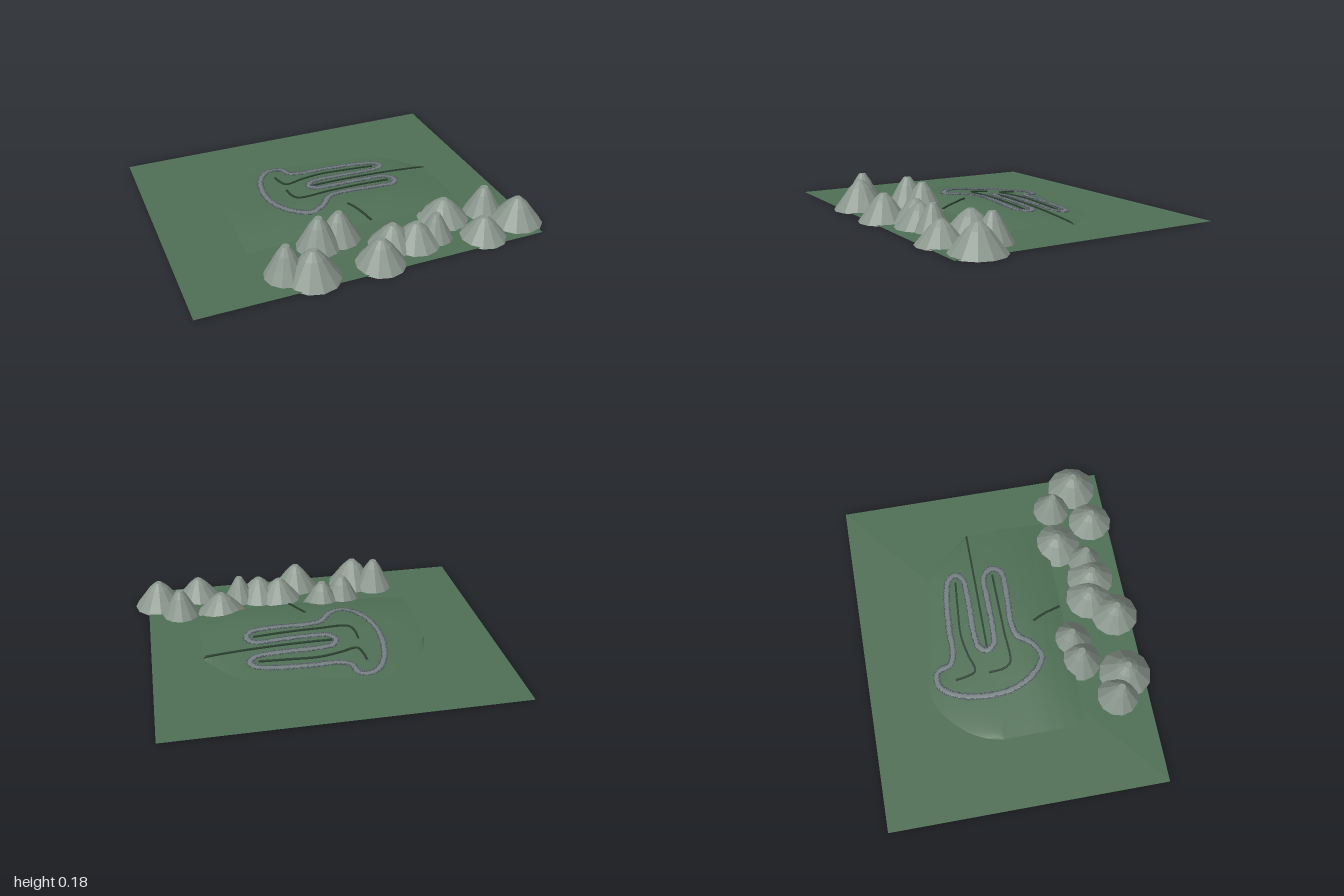
import * as THREE from 'three';
import { mergeGeometries } from 'three/addons/utils/BufferGeometryUtils.js';

const mat = (color, flatShading = false) =>
  new THREE.MeshStandardMaterial({ color, flatShading, side: THREE.DoubleSide });
const GREEN = 0x4f6f55, DARK = 0x2a4030;
const BASE = 0.006, RIDGE = -0.105;

// piecewise linear lookup in a list of [key, value]
function lookup(list, k) {
  if (k <= list[0][0]) return list[0][1];
  for (let i = 1; i < list.length; i++) {
    const [a, va] = list[i - 1], [b, vb] = list[i];
    if (k <= b) return va + (vb - va) * (k - a) / (b - a);
  }
  return list[list.length - 1][1];
}

// terrain: front slope by z, and rim of the rear slope by x
const SLOPE = [[-0.11, 0.05], [0, 0.064], [0.08, 0.073], [0.15, 0.076], [0.22, 0.072], [0.3, 0.06], [0.36, 0.045]];
const RIM = [[-0.615, -0.112], [-0.59, -0.2], [-0.55, -0.28], [-0.48, -0.36], [-0.4, -0.425], [-0.32, -0.46],
  [-0.25, -0.465], [-0.15, -0.445], [0.1, -0.4], [0.35, -0.37], [0.45, -0.345], [0.52, -0.28], [0.64, -0.112]];
const slope = (x, z) => lookup(SLOPE, z) * (1 - 0.6 * (x / 0.63) ** 2);
function height(x, z) {
  if (z >= RIDGE) return slope(x, z);
  const t = Math.min(1, (z - RIDGE) / (lookup(RIM, x) - RIDGE));
  return THREE.MathUtils.lerp(slope(x, RIDGE), BASE + 0.001, t);
}

// grid surface from a function (u, v) -> [x, y, z]
function surface(nu, nv, fn) {
  const pos = [], idx = [];
  for (let j = 0; j <= nv; j++) for (let i = 0; i <= nu; i++) pos.push(...fn(i / nu, j / nv));
  for (let j = 0; j < nv; j++) for (let i = 0; i < nu; i++) {
    const a = j * (nu + 1) + i, b = a + nu + 1;
    idx.push(a, b, a + 1, a + 1, b, b + 1);
  }
  const g = new THREE.BufferGeometry();
  g.setAttribute('position', new THREE.Float32BufferAttribute(pos, 3));
  g.setIndex(idx);
  g.computeVertexNormals();
  return g;
}

const makeCurve = (pts, closed) =>
  new THREE.CatmullRomCurve3(pts.map(([x, z]) => new THREE.Vector3(x, 0, z)), closed, 'centripetal');

// point beside a path, offset sideways and draped on the terrain
function beside(curve, t, side, lift) {
  const p = curve.getPointAt(t), d = curve.getTangentAt(t);
  const x = p.x - d.z * side, z = p.z + d.x * side;
  return [x, height(x, z) + lift, z];
}

// strip of raised section following a path over the terrain
function strip(curve, width, lift, steps) {
  const section = [[-width / 2, 0], [-width / 2, lift], [width / 2, lift], [width / 2, 0]];
  return surface(3, steps, (u, v) => beside(curve, v, ...section[Math.round(u * 3)]));
}

export function createModel() {
  const model = new THREE.Group();
  const add = (name, geometry, material) => {
    const mesh = new THREE.Mesh(geometry, material);
    mesh.name = name;
    model.add(mesh);
    return mesh;
  };

  // flat ground sheet
  const ground = new THREE.PlaneGeometry(1.92, 1.54).rotateX(-Math.PI / 2);
  add('ground', ground, mat(GREEN)).position.set(-0.04, BASE, -0.03);

  // front slope with open edges, and rear slope running out to the ground
  add('frontSlope', surface(40, 24, (u, v) => {
    const x = -0.615 + u * 1.255, z = RIDGE + v * 0.46;
    return [x, height(x, z), z];
  }), mat(GREEN));
  add('rearSlope', surface(50, 14, (u, v) => {
    const x = -0.615 + u * 1.255;
    const z = THREE.MathUtils.lerp(lookup(RIM, x), RIDGE, v);
    return [x, height(x, z), z];
  }), mat(GREEN));

  // dark terrace edges
  const edges = [
    [[-0.235, -0.31], [-0.228, -0.25], [-0.205, -0.195], [-0.1, -0.22], [0.02, -0.24], [0.2, -0.23], [0.35, -0.218]],
    [[-0.23, -0.12], [-0.225, -0.04], [-0.2, 0.005], [0, 0.005], [0.35, 0]],
    [[-0.09, -0.106], [0.2, -0.106], [0.64, -0.106]],
    [[0.02, 0.18], [0.05, 0.24], [0.09, 0.35]],
  ];
  edges.forEach((pts, i) =>
    add('terraceEdge' + (i + 1), strip(makeCurve(pts, false), 0.011, 0.007, 50), mat(DARK, true)));

  // winding closed track
  const track = makeCurve([
    [-0.2, -0.415], [-0.165, -0.4], [-0.145, -0.335], [-0.1, -0.307], [0.1, -0.3], [0.3, -0.28], [0.375, -0.255],
    [0.397, -0.215], [0.36, -0.175], [0.25, -0.165], [0, -0.165], [-0.075, -0.15], [-0.1, -0.108], [-0.07, -0.065],
    [0, -0.055], [0.2, -0.055], [0.35, -0.05], [0.39, 0], [0.36, 0.05], [0.25, 0.06], [0, 0.055], [-0.06, 0.08],
    [-0.11, 0.145], [-0.2, 0.185], [-0.28, 0.13], [-0.34, 0.03], [-0.36, -0.1], [-0.345, -0.25], [-0.3, -0.36],
    [-0.25, -0.41]], true);
  track.arcLengthDivisions = 1000;
  add('track', strip(track, 0.026, 0.005, 400), mat(0x747f80));

  // small stones lining both sides of the track
  let seed = 7;
  const rand = () => (seed = (seed * 16807) % 2147483647) / 2147483647;
  const stones = [];
  const count = 420;
  for (let i = 0; i < count; i++) for (const side of [-1, 1]) {
    const r = 0.003 + rand() * 0.003;
    const p = beside(track, (i + rand() * 0.6) / count, side * (0.012 + rand() * 0.006), 0.005);
    stones.push(new THREE.IcosahedronGeometry(r, 0).rotateY(rand() * 6).translate(...p));
  }
  add('trackStones', mergeGeometries(stones), mat(0x555b66, true));

  // faceted hills: x, z, radius, height
  const hills = [
    [-0.48, 0.57, 0.12, 0.18], [-0.36, 0.635, 0.15, 0.165], [-0.24, 0.4, 0.125, 0.18], [-0.115, 0.37, 0.125, 0.165],
    [0, 0.655, 0.137, 0.15], [0.125, 0.53, 0.135, 0.128], [0.245, 0.565, 0.14, 0.13], [0.365, 0.555, 0.1, 0.15],
    [0.49, 0.41, 0.148, 0.128], [0.61, 0.64, 0.13, 0.122], [0.73, 0.43, 0.112, 0.16], [0.85, 0.58, 0.147, 0.15],
  ];
  hills.forEach(([x, z, r, h], i) => {
    const profile = [[0, 0], [r, 0], [r * 0.68, h * 0.4], [r * 0.4, h * 0.76], [0.02, h], [0, h]]
      .map(([a, b]) => new THREE.Vector2(a, b));
    const hill = add('hill' + (i + 1), new THREE.LatheGeometry(profile, 12), mat(0x8a968d, true));
    hill.position.set(x, 0, z);
  });

  return model;
}
